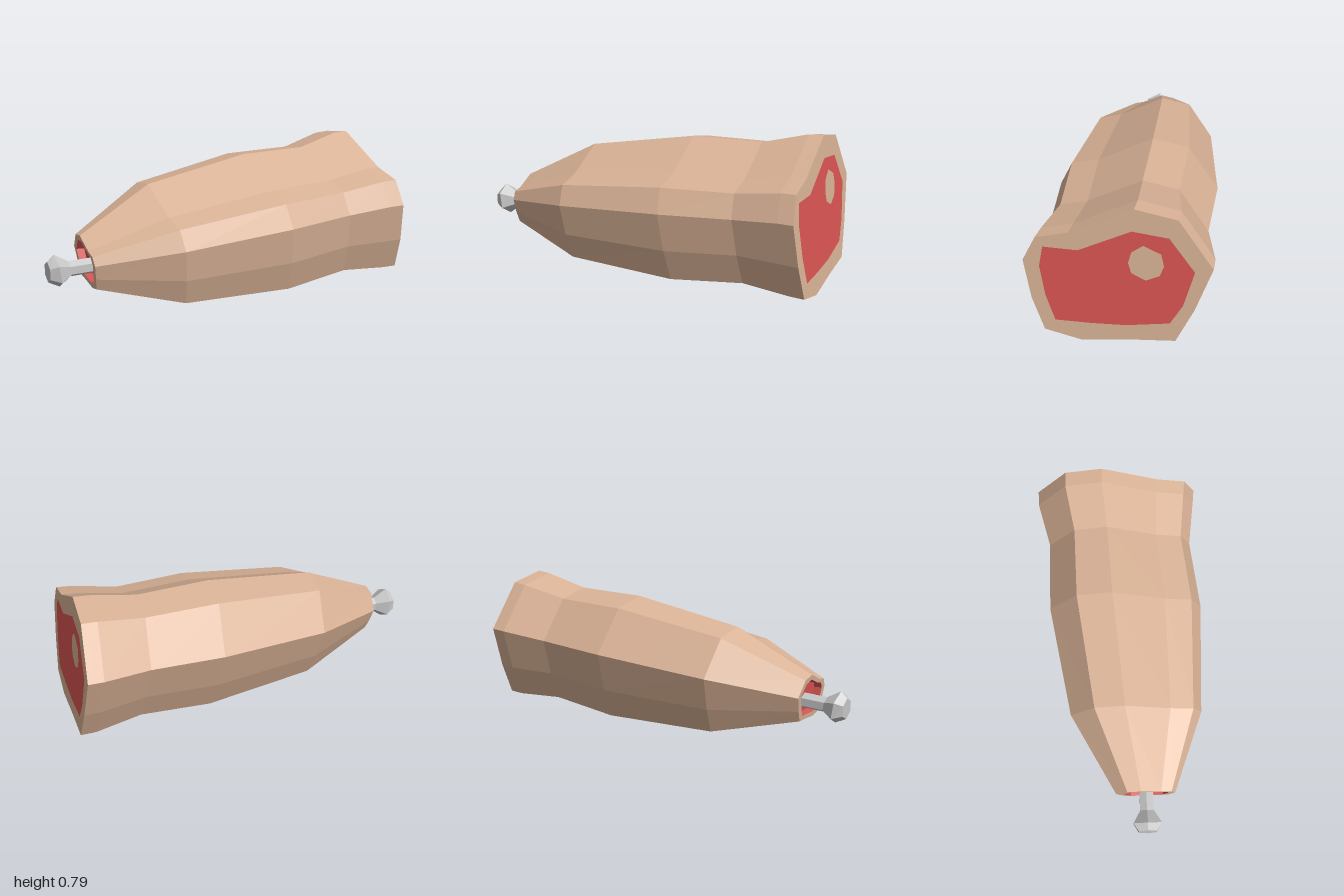
import * as THREE from 'three';

// Ham cross-section, clockwise seen from +x, as [z, y]
const OUTLINE = [[0.455, 0.455], [0.39, 0.588], [0.23, 0.63], [-0.08, 0.79], [-0.285, 0.755], [-0.455, 0.512],
  [-0.375, 0.27], [-0.29, 0.08], [-0.06, 0.055], [0.175, 0.02], [0.36, 0.06], [0.42, 0.24]];
const MEAT = [[0.355, 0.54], [0.185, 0.54], [-0.07, 0.672], [-0.245, 0.655], [-0.37, 0.485], [-0.32, 0.29],
  [-0.26, 0.18], [-0.05, 0.14], [0.13, 0.128], [0.305, 0.124], [0.35, 0.265], [0.375, 0.43]];
const MARROW = [[-0.125, 0.602], [-0.21, 0.565], [-0.225, 0.5], [-0.205, 0.445], [-0.14, 0.412],
  [-0.07, 0.445], [-0.055, 0.5], [-0.07, 0.56]];

// Every slice leans slightly: lower points sit further along +x
const lean = (x, y) => x - 0.1 * (y - 0.4);
const END_X = 0.962;

// Outline fitted to a box of z and y limits, then shrunk about its centre
function slice(x, z0, z1, y0, y1, shrink = 1) {
  const cz = (z0 + z1) / 2, cy = (y0 + y1) / 2;
  return OUTLINE.map(([z, y]) => {
    const pz = z0 + (z + 0.455) / 0.91 * (z1 - z0);
    const py = y0 + (y - 0.02) / 0.77 * (y1 - y0);
    const ny = cy + (py - cy) * shrink;
    return [lean(x, ny), ny, cz + (pz - cz) * shrink];
  });
}

// Flat-faceted skin through successive rings
function loft(rings) {
  const pos = [];
  for (let i = 0; i < rings.length - 1; i++) {
    const n = rings[i].length;
    for (let j = 0; j < n; j++) {
      const k = (j + 1) % n;
      const a = rings[i][j], b = rings[i][k], c = rings[i + 1][k], d = rings[i + 1][j];
      pos.push(...a, ...d, ...c, ...a, ...c, ...b);
    }
  }
  const geo = new THREE.BufferGeometry();
  geo.setAttribute('position', new THREE.Float32BufferAttribute(pos, 3));
  geo.computeVertexNormals();
  return geo;
}

// Flat piece of the cut face, with an optional hole
function cutFace(outline, hole) {
  const pts = list => list.map(([z, y]) => new THREE.Vector2(-z, y));
  const shape = new THREE.Shape(pts(outline));
  if (hole) shape.holes.push(new THREE.Path(pts(hole)));
  const geo = new THREE.ShapeGeometry(shape);
  const p = geo.attributes.position;
  for (let i = 0; i < p.count; i++) {
    const u = p.getX(i), y = p.getY(i);
    p.setXYZ(i, lean(END_X, y), y, -u);
  }
  geo.computeVertexNormals();
  return geo;
}

export function createModel() {
  const group = new THREE.Group();
  const material = (name, color) => {
    const m = new THREE.MeshStandardMaterial({ color });
    m.name = name;
    return m;
  };
  const skin = material('skin', 0xd9b296);
  const red = material('red meat', 0xd95553);
  const white = material('bone', 0xc8c8c8);
  const add = (name, geo, mat) => {
    const mesh = new THREE.Mesh(geo, mat);
    mesh.name = name;
    group.add(mesh);
  };

  // Body, starting with the narrow rim around the hock
  const hock = [-0.07, 0.25, 0.16, 0.42];
  add('body', loft([
    slice(-0.81, ...hock, 0.78),
    slice(-0.81, ...hock),
    slice(-0.377, -0.30, 0.415, 0.03, 0.63),
    slice(0.237, -0.40, 0.45, 0.005, 0.725),
    slice(0.628, -0.395, 0.41, 0.04, 0.725),
    slice(0.88, -0.455, 0.445, 0.02, 0.785),
    slice(END_X, -0.455, 0.455, 0.02, 0.79),
  ]), skin);

  // Sunken meat inside the hock
  add('hockMeat', loft([
    slice(-0.77, ...hock, 0),
    slice(-0.77, ...hock, 0.74),
    slice(-0.81, ...hock, 0.78),
  ]), red);

  // Cut face: fat border, meat and bone spot
  add('fatBorder', cutFace(OUTLINE, MEAT), skin);
  add('cutMeat', cutFace(MEAT, MARROW), red);
  add('cutBoneSpot', cutFace(MARROW), skin);

  // Six-sided bone with a flared knob, as [x, radius]
  const boneProfile = [[-1, 0], [-1, 0.056], [-0.953, 0.088], [-0.885, 0.042], [-0.74, 0.042]];
  add('bone', loft(boneProfile.map(([x, r]) => Array.from({ length: 6 }, (_, i) => {
    const a = i * Math.PI / 3, y = r * Math.cos(a);
    return [x === -1 ? x : x - 0.13 * y, 0.262 + y, 0.093 - r * Math.sin(a)];
  }))), white);

  return group;
}
